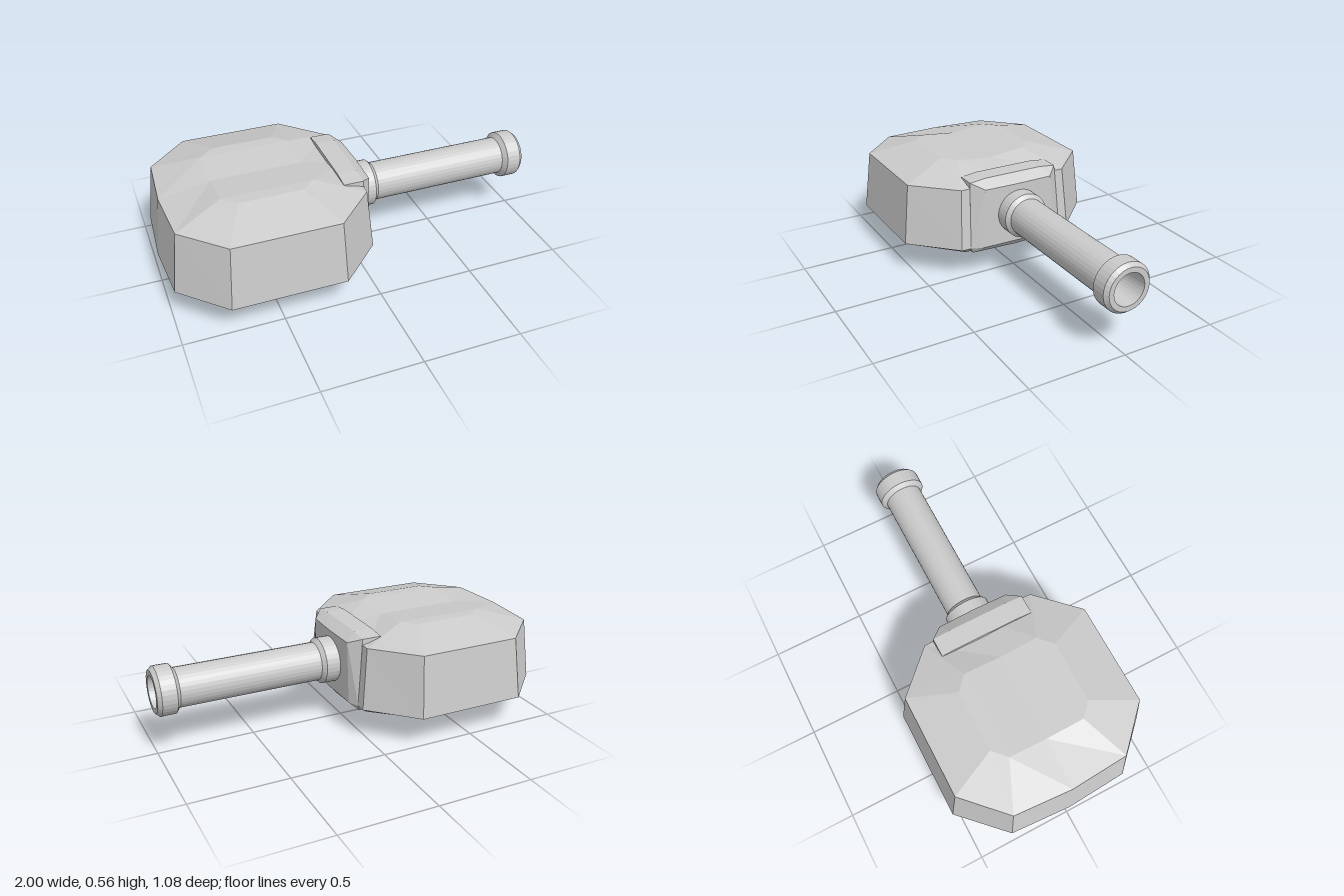
import * as THREE from 'three';
import { ConvexGeometry } from 'three/addons/geometries/ConvexGeometry.js';

const material = new THREE.MeshStandardMaterial({ color: 0xcccccc, flatShading: true });

// Half outline (front middle, round the +z side, back middle) mirrored into a closed loop
function loop(y, half, midY = y) {
  const pts = half.map(([x, z]) => [x, z === 0 ? midY : y, z]);
  const mirrored = pts.slice(1, -1).reverse().map(([x, py, z]) => [x, py, -z]);
  return [...pts, ...mirrored];
}

// Skin the stacked loops from bottom to top and cap both ends
function loft(loops) {
  const pos = [];
  const quad = (a, b, c, d) => pos.push(...a, ...b, ...c, ...a, ...c, ...d);
  for (let k = 0; k < loops.length - 1; k++) {
    const lo = loops[k], hi = loops[k + 1];
    for (let i = 0; i < lo.length; i++) {
      const j = (i + 1) % lo.length;
      quad(lo[i], hi[i], hi[j], lo[j]);
    }
  }
  const first = loops[0], last = loops[loops.length - 1];
  for (const q of [[1, 2, 3, 4], [0, 1, 4, 5], [0, 5, 6, 9], [6, 7, 8, 9]]) {
    quad(...q.map(i => first[i]));
    quad(...q.slice().reverse().map(i => last[i]));
  }
  const g = new THREE.BufferGeometry();
  g.setAttribute('position', new THREE.Float32BufferAttribute(pos, 3));
  g.computeVertexNormals();
  return g;
}

export function createModel() {
  const group = new THREE.Group();
  const add = (name, geometry) => {
    const mesh = new THREE.Mesh(geometry, material);
    mesh.name = name;
    group.add(mesh);
    return mesh;
  };

  // Faceted body with a tapered foot and a shallow valley along the roof
  const ring = [[-0.24, 0], [-0.24, 0.2], [-0.31, 0.265], [-0.63, 0.265], [-0.7, 0.2], [-0.7, 0]];
  add('turretBody', loft([
    loop(0, [[-0.36, 0], [-0.36, 0.065], [-0.42, 0.12], [-0.54, 0.12], [-0.6, 0.065], [-0.6, 0]]),
    loop(0.115, ring),
    loop(0.135, [[0, 0], [-0.01, 0.28], [-0.22, 0.465], [-0.72, 0.465], [-0.91, 0.28], [-0.93, 0]]),
    loop(0.17, [[0.04, 0], [0.03, 0.32], [-0.19, 0.54], [-0.76, 0.54], [-0.98, 0.32], [-1, 0]]),
    loop(0.49, [[0.01, 0], [0, 0.3], [-0.2, 0.505], [-0.735, 0.505], [-0.94, 0.305], [-0.96, 0]]),
    loop(0.555, ring, 0.535),
  ]));

  // Bevelled block that carries the barrel
  const corners = [
    [-0.1, 0.53, 0.16], [-0.1, 0.52, 0.25], [0, 0.53, 0.16], [0, 0.52, 0.25],
    [0.055, 0.49, 0.19], [0.06, 0.49, 0], [0.06, 0.17, 0], [0.055, 0.17, 0.21],
    [0.03, 0.17, 0.27], [0.015, 0.135, 0.25], [0.03, 0.135, 0], [-0.1, 0.13, 0.25],
  ];
  add('mantlet', new ConvexGeometry(
    corners.flatMap(([x, y, z]) => [new THREE.Vector3(x, y, z), new THREE.Vector3(x, y, -z)])));

  // Barrel with base collar, muzzle ring and tapered bore: [radius, distance along x]
  const profile = [
    [0, 0.03], [0.12, 0.03], [0.12, 0.13], [0.1, 0.15], [0.1, 0.885], [0.125, 0.905],
    [0.125, 0.98], [0.108, 1], [0.082, 1], [0.065, 0.8], [0, 0.8],
  ].map(([r, d]) => new THREE.Vector2(r, d));
  const barrel = add('barrel', new THREE.LatheGeometry(profile, 32));
  barrel.rotation.z = -Math.PI / 2;
  barrel.position.y = 0.335;

  return group;
}
